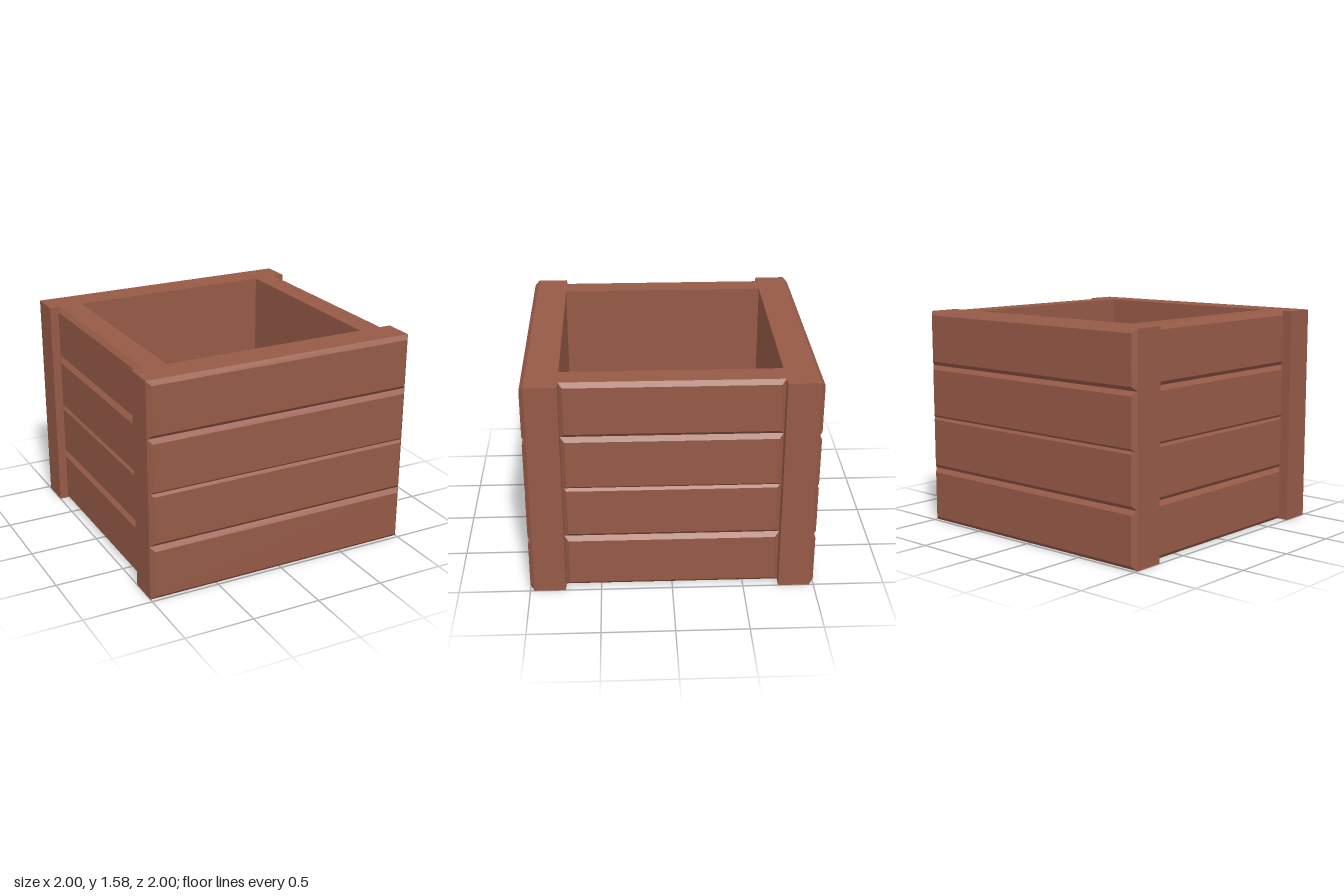
import * as THREE from 'three';

const HEIGHT = 1.575;
const BEVEL = 0.03;
const PLANK_HEIGHT = 0.4;
const PLANK_STARTS = [0, 0.4, 0.775, 1.175];

// Board lying on z = 0 whose front face is inset on all four sides
function plankGeometry(width, height) {
  const g = new THREE.BoxGeometry(width, height, BEVEL).toNonIndexed();
  g.translate(0, 0, BEVEL / 2);
  const p = g.attributes.position;
  for (let i = 0; i < p.count; i++) {
    if (p.getZ(i) > BEVEL / 2) {
      p.setX(i, p.getX(i) - Math.sign(p.getX(i)) * BEVEL);
      p.setY(i, p.getY(i) - Math.sign(p.getY(i)) * BEVEL);
    }
  }
  g.computeVertexNormals();
  return g;
}

export function createModel() {
  const group = new THREE.Group();
  const wood = new THREE.MeshStandardMaterial({ color: 0x965a47 });
  wood.name = 'brownWood';

  // Hollow body: wide end walls joined by recessed side walls
  const end = 0.97, side = 0.917, inner = 0.75;
  const outline = new THREE.Shape([
    [-1, -end], [1, -end], [1, -inner], [side, -inner], [side, inner], [1, inner],
    [1, end], [-1, end], [-1, inner], [-side, inner], [-side, -inner], [-1, -inner],
  ].map(([x, y]) => new THREE.Vector2(x, y)));
  outline.holes.push(new THREE.Path([
    [-inner, -inner], [-inner, inner], [inner, inner], [inner, -inner],
  ].map(([x, y]) => new THREE.Vector2(x, y))));
  const bodyGeometry = new THREE.ExtrudeGeometry(outline, { depth: HEIGHT, bevelEnabled: false });
  bodyGeometry.rotateX(-Math.PI / 2);
  const body = new THREE.Mesh(bodyGeometry, wood);
  body.name = 'boxWalls';
  group.add(body);

  // Raised floor filling the lower part of the opening
  const floorHeight = 0.87;
  const floor = new THREE.Mesh(new THREE.BoxGeometry(inner * 2, floorHeight, inner * 2), wood);
  floor.position.y = floorHeight / 2;
  floor.name = 'innerFloor';
  group.add(floor);

  // Four bevelled planks on each face
  const longPlank = plankGeometry(2, PLANK_HEIGHT);
  const shortPlank = plankGeometry(inner * 2, PLANK_HEIGHT);
  const faces = [
    ['front', longPlank, end], ['left', shortPlank, side],
    ['back', longPlank, end], ['right', shortPlank, side],
  ];
  faces.forEach(([name, geometry, distance], i) => {
    const panel = new THREE.Group();
    panel.name = name + 'Planks';
    for (const y of PLANK_STARTS) {
      const plank = new THREE.Mesh(geometry, wood);
      plank.name = name + 'Plank';
      plank.position.set(0, y + PLANK_HEIGHT / 2, distance);
      panel.add(plank);
    }
    panel.rotation.y = i * Math.PI / 2;
    group.add(panel);
  });

  return group;
}
